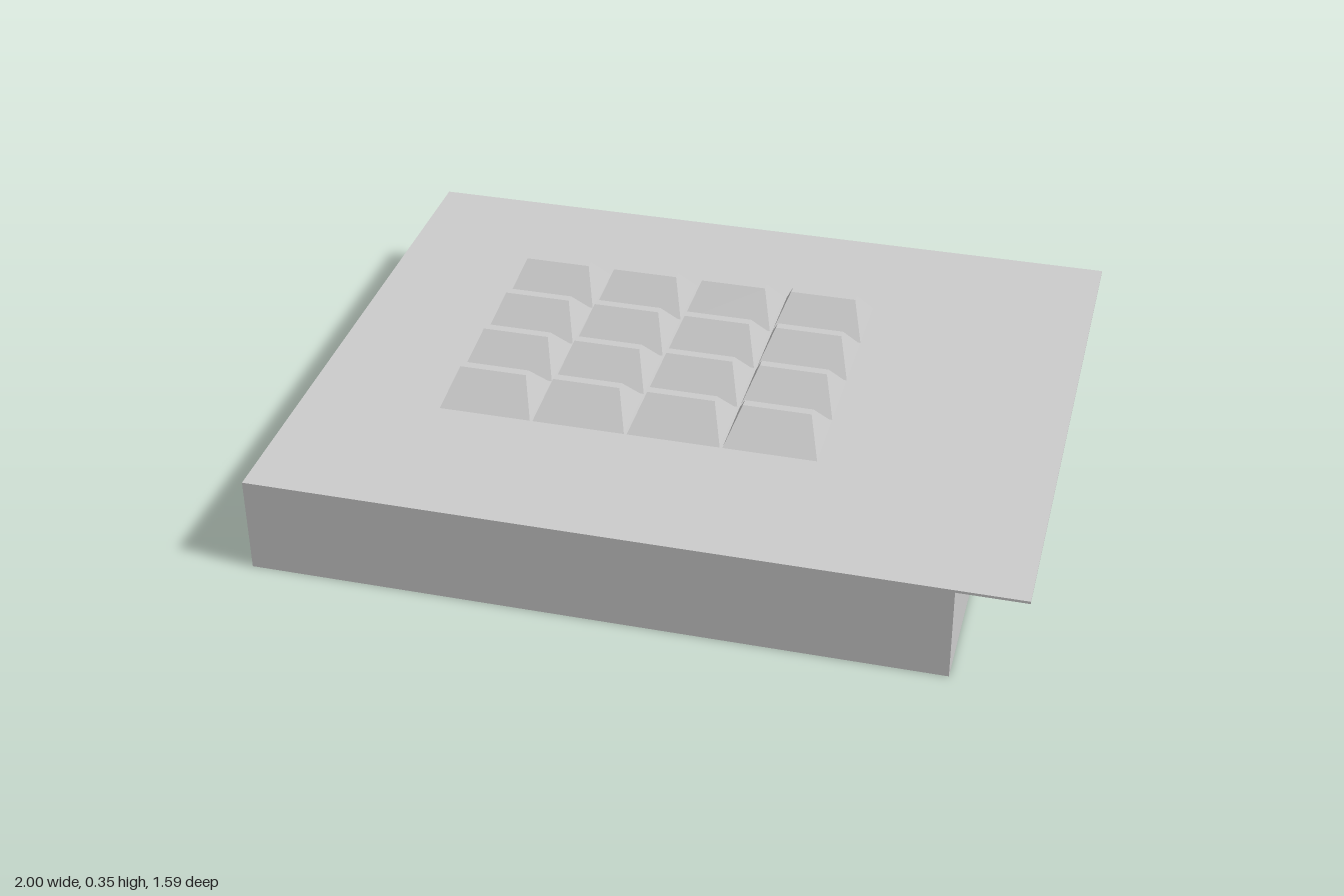
import * as THREE from 'three';

const D = 0.797;      // half depth of the plate
const TOP = 0.265;    // height of the plate surface
const T = 0.007;      // sheet thickness

export function createModel() {
  const group = new THREE.Group();
  const material = new THREE.MeshStandardMaterial({ color: 0xcccccc, flatShading: true });

  const add = (name, geometry) => {
    const mesh = new THREE.Mesh(geometry, material);
    mesh.name = name;
    group.add(mesh);
    return mesh;
  };

  // Box given by its limits on each axis
  const slab = (name, x0, x1, y0, y1, z0, z1) =>
    add(name, new THREE.BoxGeometry(x1 - x0, y1 - y0, z1 - z0))
      .position.set((x0 + x1) / 2, (y0 + y1) / 2, (z0 + z1) / 2);

  // Thin top plate overhanging the open left side
  const under = TOP - T;
  slab('topPlate', -1, 1, under, TOP, -D, D);

  // Skirt walls of different lengths
  slab('frontWall', -1, 0.82, 0, under, D - T, D);
  slab('backWall', -1, 0.75, 0, under, -D, -D + T);
  slab('rightWall', -1, -1 + T, 0, under, -D + T, D - T);
  slab('leftPartialWall', 0.82 - T, 0.82, 0, under, -0.03, D - T);

  // Ridged key: a box whose top is drawn in to a narrow flat ridge
  const w = 0.25, d = 0.191, h = 0.085;
  const key = new THREE.BoxGeometry(w, h, d);
  key.translate(0, h / 2, 0);
  const p = key.attributes.position;
  for (let i = 0; i < p.count; i++) {
    if (p.getY(i) > h / 2) {
      p.setX(i, Math.sign(p.getX(i)) * 0.091);
      p.setZ(i, Math.sign(p.getZ(i)) * 0.012);
    }
  }
  key.computeVertexNormals();

  // Four by four field of keys
  for (let row = 0; row < 4; row++) {
    for (let col = 0; col < 4; col++) {
      add('ridgedKey', key).position.set(-0.503 + col * 0.257, TOP, -0.335 + row * 0.197);
    }
  }
  return group;
}
